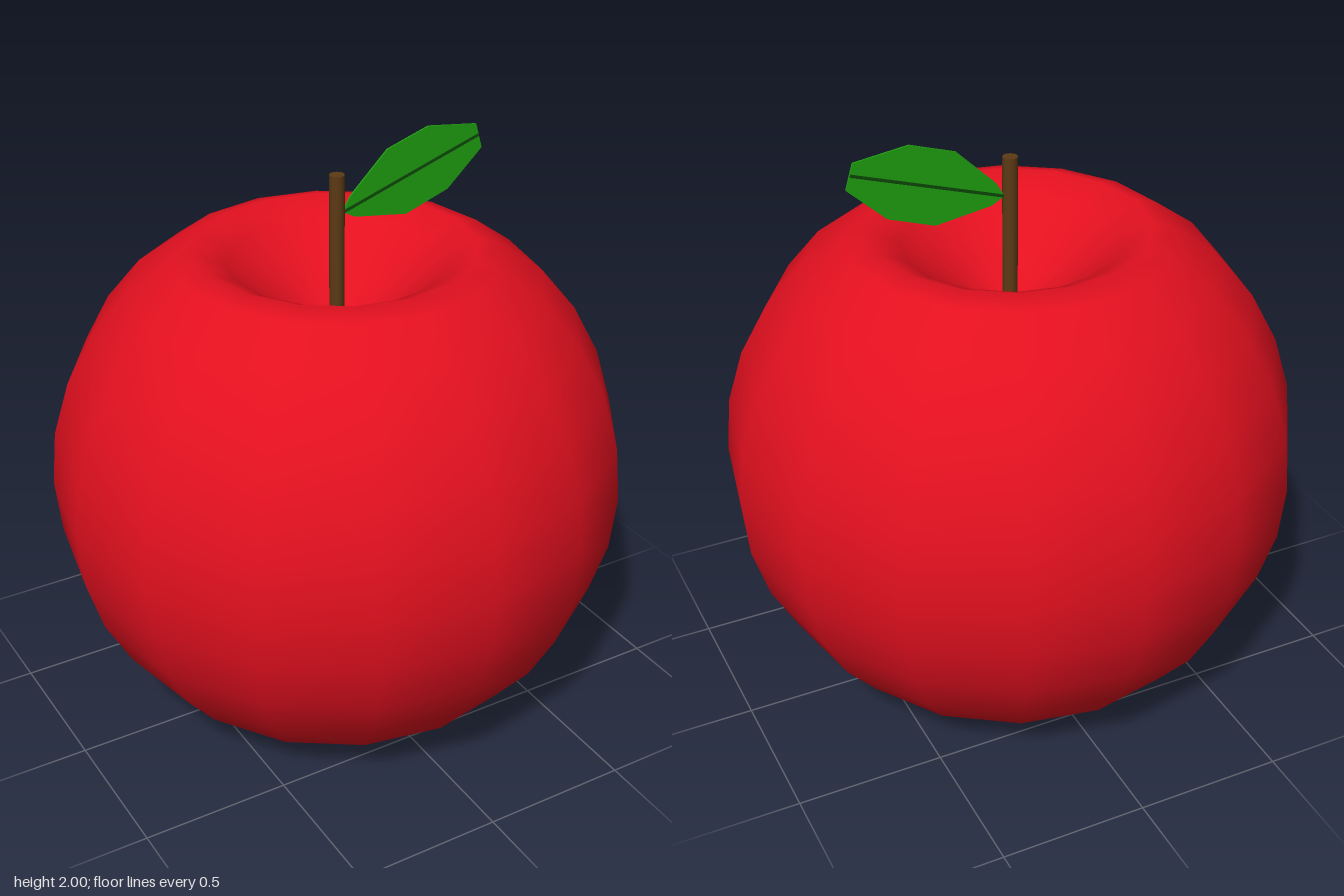
import * as THREE from 'three';

const SIDES = 16;
const material = (color, extra = {}) => new THREE.MeshStandardMaterial({ color, ...extra });

function part(name, geometry, mat) {
  const mesh = new THREE.Mesh(geometry, mat);
  mesh.name = name;
  return mesh;
}

// Underside: rings running inward from the 16-sided body edge to a raised centre,
// with five notches that leave five blunt feet.
function undersideGeometry(edgeRadius, edgeY) {
  const n = 80, rows = 4, positions = [], index = [];
  const step = (Math.PI * 2) / SIDES, fifth = (Math.PI * 2) / 5;
  for (let j = 0; j <= rows; j++) {
    for (let i = 0; i < n; i++) {
      const a = (i / n) * Math.PI * 2;
      const fromNotch = Math.abs(a - Math.round(a / fifth) * fifth);
      const notch = Math.max(0, 1 - fromNotch / 0.32);
      const offset = (a % step) - step / 2;
      const polygon = (edgeRadius * Math.cos(step / 2)) / Math.cos(offset);
      const r = [polygon, 0.385, 0.3, 0.17, 0][j];
      const y = [edgeY, 0.003 + 0.075 * notch, 0.003 + 0.11 * notch, 0.13 + 0.05 * notch, 0.26][j];
      positions.push(r * Math.cos(a), y, r * Math.sin(a));
      if (j < rows) {
        const p = j * n + i, q = j * n + ((i + 1) % n);
        index.push(p, q, p + n);
        if (j < rows - 1) index.push(q, q + n, p + n);
      }
    }
  }
  const g = new THREE.BufferGeometry();
  g.setAttribute('position', new THREE.Float32BufferAttribute(positions, 3));
  g.setIndex(index);
  g.computeVertexNormals();
  return g;
}

export function createModel() {
  const model = new THREE.Group();
  model.name = 'apple';
  const red = 0xe3101f;

  // Body: spherical rings, then the rim and the dimple on top
  const R = 0.965, centreY = 0.85, profile = [];
  for (let k = -5; k <= 4; k++) {
    const a = (k * Math.PI) / 16;
    profile.push(new THREE.Vector2(R * Math.cos(a), centreY + R * Math.sin(a)));
  }
  for (const [r, y] of [[0.54, 1.635], [0.46, 1.658], [0.36, 1.61], [0.19, 1.46], [0, 1.33]]) {
    profile.push(new THREE.Vector2(r, y));
  }
  model.add(part('body', new THREE.LatheGeometry(profile, SIDES), material(red)));
  model.add(part('underside', undersideGeometry(profile[0].x, profile[0].y),
    material(red, { flatShading: true })));

  // Stem
  const stem = part('stem', new THREE.CylinderGeometry(0.025, 0.025, 0.6, 12), material(0x5c3a14));
  stem.position.y = 1.6;
  model.add(stem);

  // Leaf: a thin upright blade with a dark midrib
  const outline = [[0.02, 1.77], [0.065, 1.745], [0.26, 1.715], [0.42, 1.77], [0.55, 1.89],
    [0.525, 1.975], [0.34, 2.0], [0.185, 1.95], [0.05, 1.82]];
  const shape = new THREE.Shape(outline.map(([x, y]) => new THREE.Vector2(x, y)));
  const blade = new THREE.ExtrudeGeometry(shape, { depth: 0.006, bevelEnabled: false });
  blade.translate(0, 0, -0.003);
  const leaf = new THREE.Group();
  leaf.name = 'leaf';
  leaf.add(part('leafBlade', blade, material(0x1fa010)));
  const rib = part('leafMidrib', new THREE.BoxGeometry(0.54, 0.01, 0.01), material(0x0d4a08));
  rib.position.set(0.278, 1.853, 0);
  rib.rotation.z = Math.atan2(0.165, 0.51);
  leaf.add(rib);
  model.add(leaf);

  return model;
}
